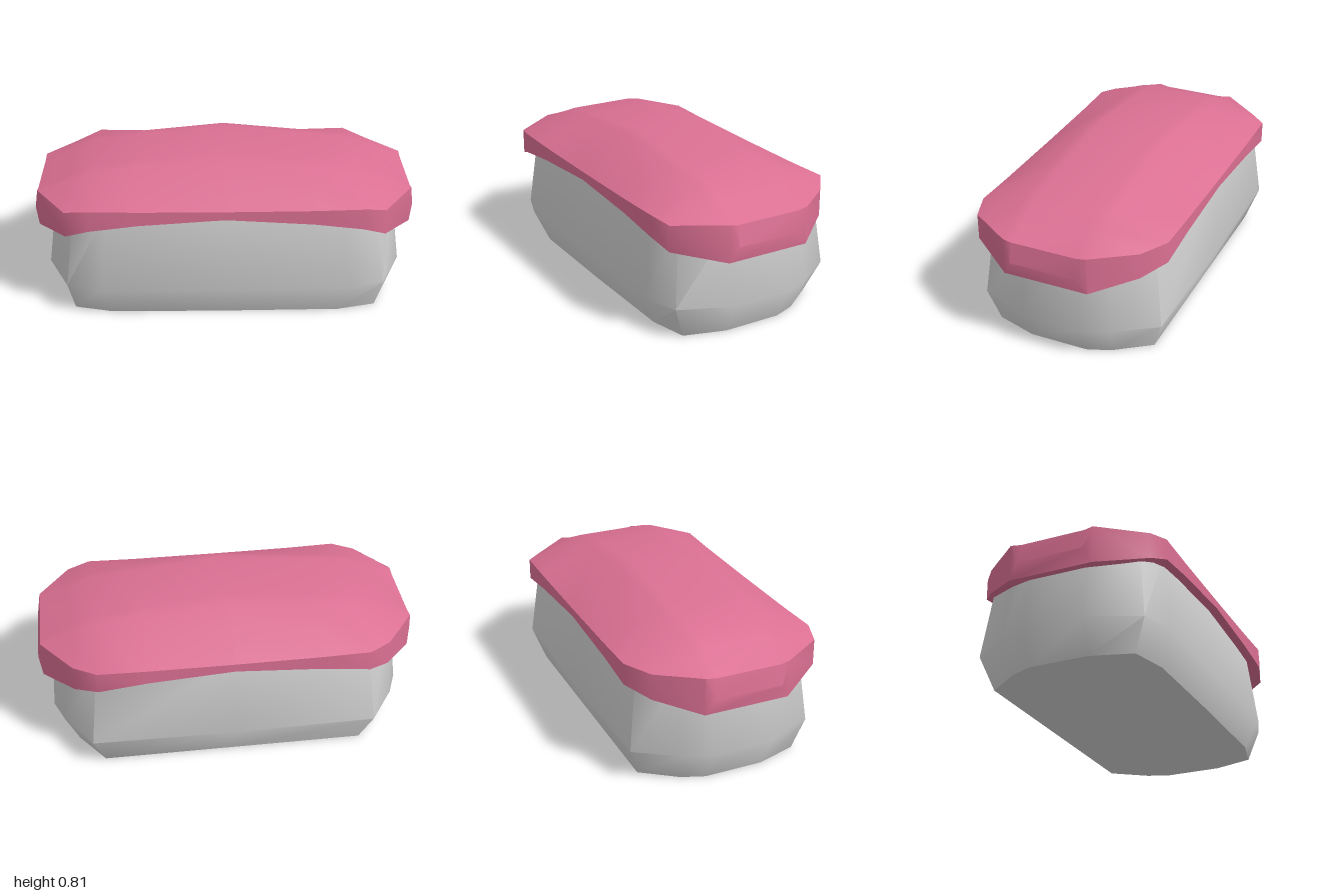
import * as THREE from 'three';
import { toCreasedNormals } from 'three/addons/utils/BufferGeometryUtils.js';

const pink = new THREE.MeshStandardMaterial({ color: 0xdb7093 });
pink.name = 'pink';
const lightGrey = new THREE.MeshStandardMaterial({ color: 0xd3d3d3 });
lightGrey.name = 'lightGrey';

// Skin a list of closed rings of equal length, each point [x, y, z]
function loft(rings, crease) {
  const n = rings[0].length;
  const index = [];
  for (let i = 0; i < rings.length - 1; i++) {
    for (let j = 0; j < n; j++) {
      const k = (j + 1) % n;
      const a = i * n + j, b = i * n + k, c = a + n, d = b + n;
      index.push(a, c, b, b, c, d);
    }
  }
  const geometry = new THREE.BufferGeometry();
  geometry.setAttribute('position', new THREE.Float32BufferAttribute(rings.flat(2), 3));
  geometry.setIndex(index);
  return toCreasedNormals(geometry, crease);
}

// Body ring at height y: half outline from front to back, mirrored in x
function bodyRing(y, half) {
  const right = half.map(([x, z]) => [x, y, z]);
  const left = half.slice(1, -1).reverse().map(([x, z]) => [-x, y, z]);
  return [...right, ...left];
}

function createBody() {
  const base = [[0, 0.44], [0.6, 0.435], [0.8, 0.385], [0.865, 0.17],
    [0.865, -0.14], [0.82, -0.26], [0.69, -0.44], [0, -0.44]];
  const belly = [[0, 0.51], [0.65, 0.505], [0.83, 0.445], [0.945, 0.18],
    [0.945, -0.15], [0.89, -0.29], [0.75, -0.5], [0, -0.51]];
  const scaled = (s, t) => belly.map(([x, z]) => [x * s, z * t]);
  const geometry = loft([
    bodyRing(0.6, scaled(0, 0)),
    bodyRing(0.6, scaled(0.94, 0.9)),
    bodyRing(0.17, belly),
    bodyRing(0, base),
    bodyRing(0, scaled(0, 0)),
  ], 1.0);
  const body = new THREE.Mesh(geometry, lightGrey);
  body.name = 'body';
  return body;
}

function createLid() {
  // x, front z, back z, lower edge, rim, shoulder, ridge height
  const stations = [
    [0, 0.51, -0.51, 0.585, 0.63, 0.804, 0.813],
    [0.45, 0.51, -0.51, 0.555, 0.632, 0.76, 0.768],
    [0.7, 0.51, -0.51, 0.525, 0.638, 0.732, 0.74],
    [0.82, 0.475, -0.415, 0.48, 0.617, 0.685, 0.69],
    [0.98, 0.24, -0.21, 0.43, 0.627, 0.626, 0.617],
    [1, 0.2, -0.16, 0.51, 0.51, 0.51, 0.51],
  ];
  const section = ([x, front, back, low, rim, shoulder, ridge], side) => [
    [x * side, low, front], [x * side, rim, front],
    [x * side, shoulder, Math.min(0.25, front)],
    [x * side, ridge, 0.195], [x * side, ridge, -0.15],
    [x * side, shoulder, Math.max(-0.215, back)],
    [x * side, rim, back], [x * side, low, back],
  ];
  const rings = [
    ...stations.slice(1).reverse().map((s) => section(s, -1)),
    ...stations.map((s) => section(s, 1)),
  ];
  const lid = new THREE.Mesh(loft(rings, 0.7), pink);
  lid.name = 'lid';
  return lid;
}

export function createModel() {
  const model = new THREE.Group();
  model.name = 'lidded box';
  model.add(createBody(), createLid());
  return model;
}
